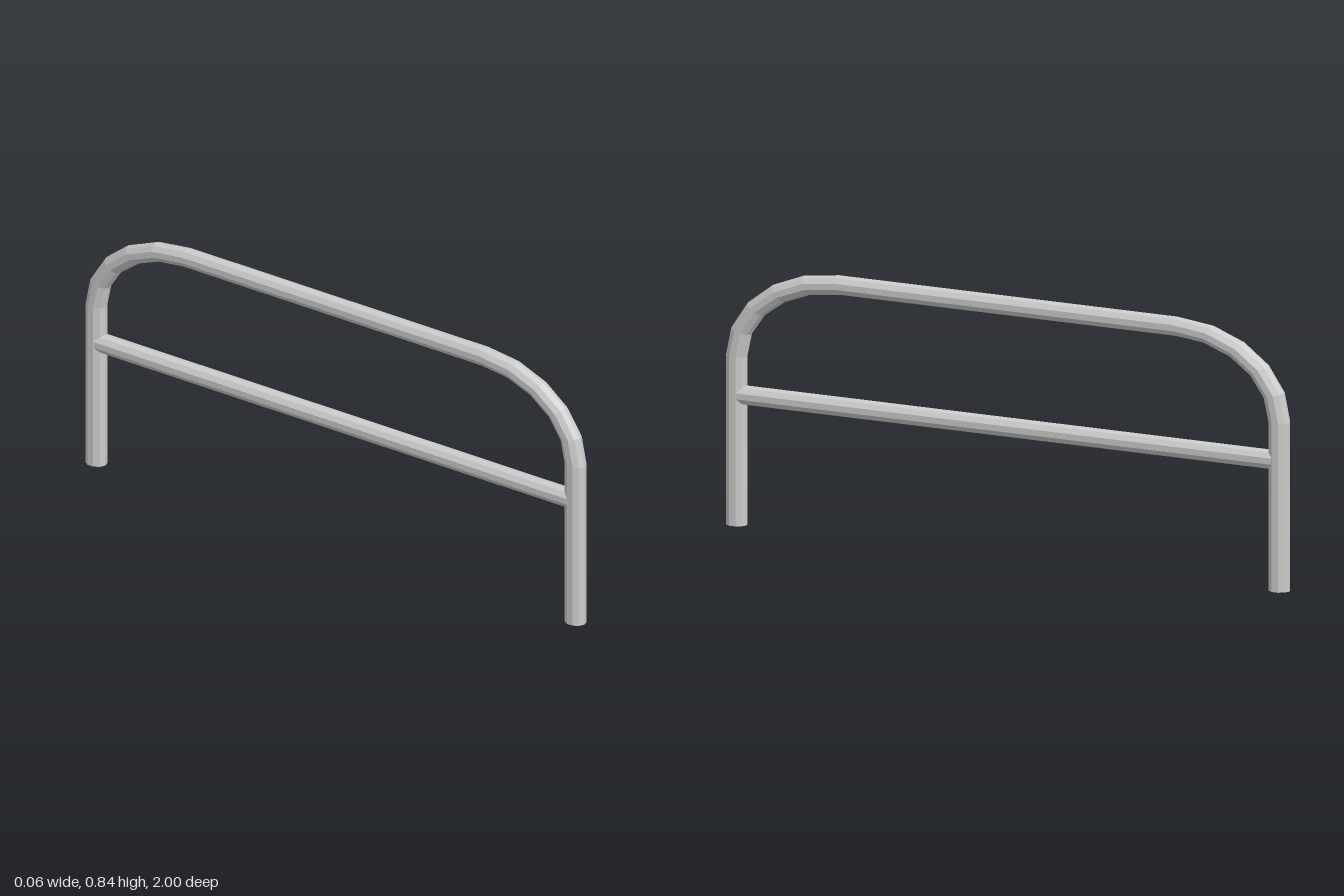
import * as THREE from 'three';

const SIDES = 10;
const RX = 0.0315, RY = 0.0315, RZ = 0.036; // tube half-sizes along each axis

// Lofts a closed tube through rings; each ring has a centre (y, z), an outward vector (dy, dz) and a half-width rx.
function loft(name, rings) {
  const positions = [], index = [];
  for (const { y, z, dy, dz, rx } of rings) {
    for (let j = 0; j < SIDES; j++) {
      const t = (j / SIDES) * Math.PI * 2;
      positions.push(rx * Math.sin(t), y + dy * Math.cos(t), z + dz * Math.cos(t));
    }
  }
  const last = (rings.length - 1) * SIDES;
  const startCentre = last + SIDES, endCentre = startCentre + 1;
  for (const r of [rings[0], rings[rings.length - 1]]) positions.push(0, r.y, r.z);

  for (let j = 0; j < SIDES; j++) {
    const k = (j + 1) % SIDES;
    for (let a = 0; a < last; a += SIDES) {
      index.push(a + j, a + k, a + SIDES + j, a + k, a + SIDES + k, a + SIDES + j);
    }
    // End caps
    index.push(startCentre, k, j, endCentre, last + j, last + k);
  }

  const geometry = new THREE.BufferGeometry();
  geometry.setAttribute('position', new THREE.Float32BufferAttribute(positions, 3));
  geometry.setIndex(index);
  geometry.computeVertexNormals();
  const mesh = new THREE.Mesh(geometry, new THREE.MeshStandardMaterial({ color: 0xcccccc, flatShading: true }));
  mesh.name = name;
  return mesh;
}

export function createModel() {
  const group = new THREE.Group();
  group.name = 'railing';

  // Bent hoop: front leg, rounded corner, top rail, rounded corner, back leg
  const bendY = 0.545, bendZ = 0.6, topY = 0.812, legZ = 1 - RZ, steps = 5;
  const half = [{ y: 0, z: legZ, dy: 0, dz: RZ, rx: RX }];
  for (let i = 0; i <= steps; i++) {
    const a = (i / steps) * Math.PI / 2, c = Math.cos(a), s = Math.sin(a);
    half.push({
      y: bendY + (topY - bendY) * s,
      z: bendZ + (legZ - bendZ) * c,
      dy: RY * s,
      dz: RZ * c,
      rx: RX,
    });
  }
  const mirrored = half.map((r) => ({ ...r, z: -r.z, dz: -r.dz })).reverse();
  group.add(loft('hoopFrame', [...half, ...mirrored]));

  // Straight lower rail, its ends buried in the legs
  const rail = { y: 0.42, dy: RY, dz: 0, rx: RX + 0.0003 };
  group.add(loft('crossRail', [{ ...rail, z: 0.95 }, { ...rail, z: -0.95 }]));

  return group;
}
